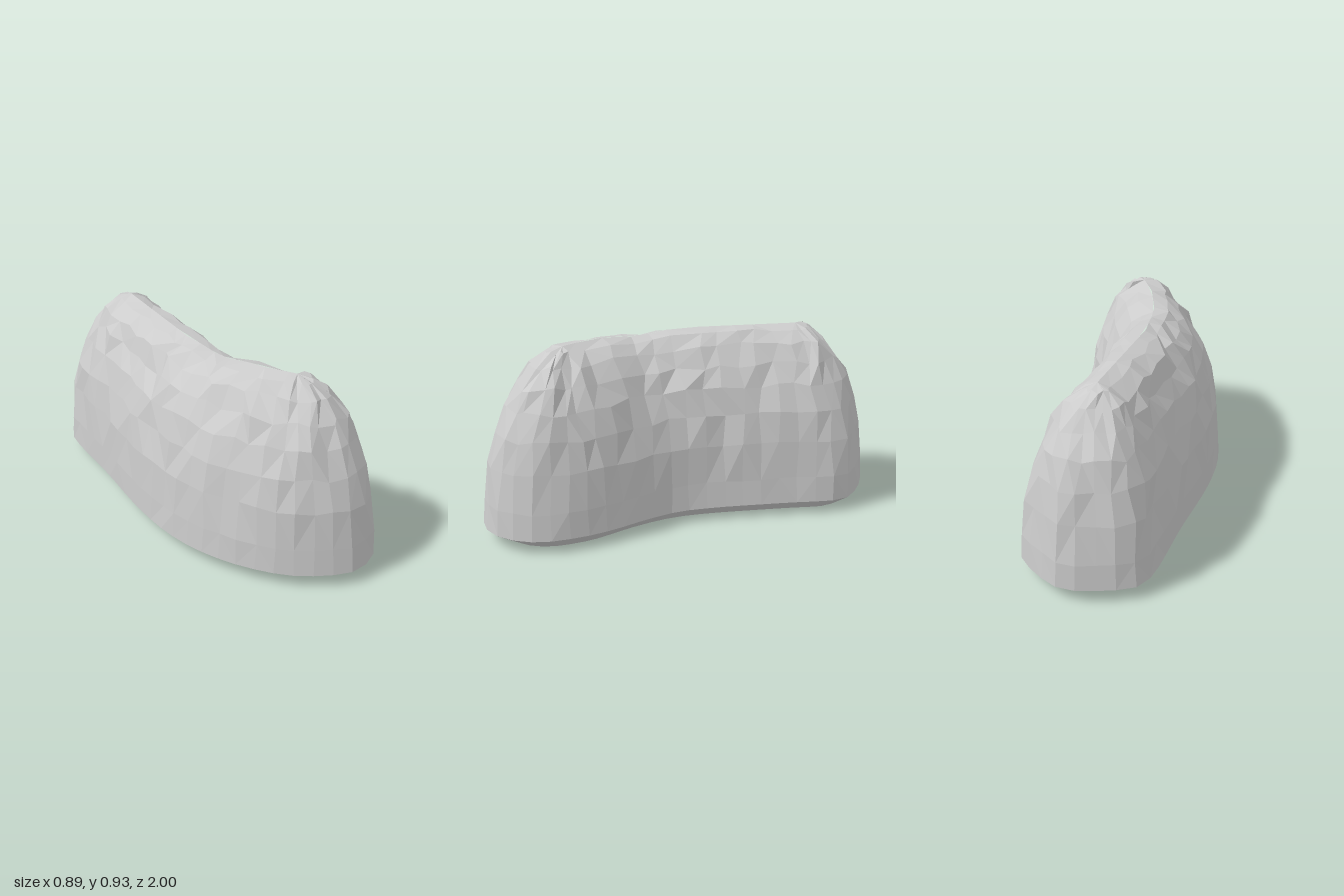
import * as THREE from 'three';

// Footprint of the widest level, [x, z], counter-clockwise seen from above
const OUTLINE = [
  [-0.44, -0.78], [-0.44, -0.35], [-0.445, 0.05], [-0.42, 0.3], [-0.36, 0.5], [-0.25, 0.7],
  [-0.1, 0.87], [0.05, 0.96], [0.18, 1], [0.31, 0.96], [0.4, 0.86], [0.44, 0.72], [0.41, 0.52],
  [0.36, 0.38], [0.27, 0.2], [0.21, 0.04], [0.19, -0.15], [0.19, -0.5], [0.19, -0.82],
  [0.13, -0.89], [0, -0.97], [-0.1, -1], [-0.24, -0.96], [-0.41, -0.86],
];
// Ridge line inside the footprint, [x, z]
const SPINE = [[-0.125, -0.62], [-0.125, -0.02], [-0.06, 0.27], [0.02, 0.45], [0.11, 0.58]];
// Levels from the base centre up to the ridge: [spread from spine, height, roughness]
const LEVELS = [
  [0, 0, 0], [0.74, 0, 0], [1, 0.068, 0], [0.975, 0.2, 0.006], [0.915, 0.39, 0.01],
  [0.83, 0.54, 0.013], [0.7, 0.67, 0.016], [0.55, 0.77, 0.018], [0.38, 0.855, 0.018],
  [0.19, 0.91, 0.014], [0, 0.928, 0],
];
const COUNT = 52;

function seeded(seed) {
  return () => {
    seed = (seed * 16807) % 2147483647;
    return seed / 2147483647;
  };
}

// Closest point to p on the ridge line
function nearestOnSpine(p) {
  let best = null;
  for (let i = 0; i + 1 < SPINE.length; i++) {
    const line = new THREE.Line3(
      new THREE.Vector3(SPINE[i][0], 0, SPINE[i][1]),
      new THREE.Vector3(SPINE[i + 1][0], 0, SPINE[i + 1][1]));
    const q = line.closestPointToPoint(p, true, new THREE.Vector3());
    if (!best || q.distanceTo(p) < best.distanceTo(p)) best = q;
  }
  return best;
}

export function createModel() {
  const group = new THREE.Group();
  group.name = 'curvedHedge';
  const random = seeded(4711);
  const jitter = (amount) => (random() * 2 - 1) * amount;

  const curve = new THREE.CatmullRomCurve3(
    OUTLINE.map(([x, z]) => new THREE.Vector3(x, 0, z)), true, 'centripetal');
  const rim = curve.getSpacedPoints(COUNT).slice(0, COUNT);
  const roots = rim.map(nearestOnSpine);

  // Rings shrink from the rim towards the ridge, with a rough clipped surface
  const positions = [];
  for (const [spread, height, rough] of LEVELS) {
    rim.forEach((p, i) => {
      const v = roots[i].clone().lerp(p, spread);
      const dip = 0.02 * Math.exp(-(((v.z - 0.2) / 0.12) ** 2)) * (height > 0.8 ? 1 : 0);
      positions.push(
        v.x + jitter(rough),
        height - dip + jitter(rough * 0.8),
        v.z + jitter(rough));
    });
  }

  const index = [];
  for (let r = 0; r + 1 < LEVELS.length; r++) {
    for (let i = 0; i < COUNT; i++) {
      const j = (i + 1) % COUNT;
      const a = r * COUNT + i, b = r * COUNT + j;
      const c = b + COUNT, d = a + COUNT;
      // Vary the diagonal for an irregular faceted look
      if (random() < 0.5) index.push(a, b, c, a, c, d);
      else index.push(a, b, d, b, c, d);
    }
  }

  const geometry = new THREE.BufferGeometry();
  geometry.setAttribute('position', new THREE.Float32BufferAttribute(positions, 3));
  geometry.setIndex(index);
  geometry.computeVertexNormals();

  const hedge = new THREE.Mesh(geometry,
    new THREE.MeshStandardMaterial({ color: 0xcccccc, flatShading: true }));
  hedge.name = 'hedgeBody';
  group.add(hedge);
  return group;
}
